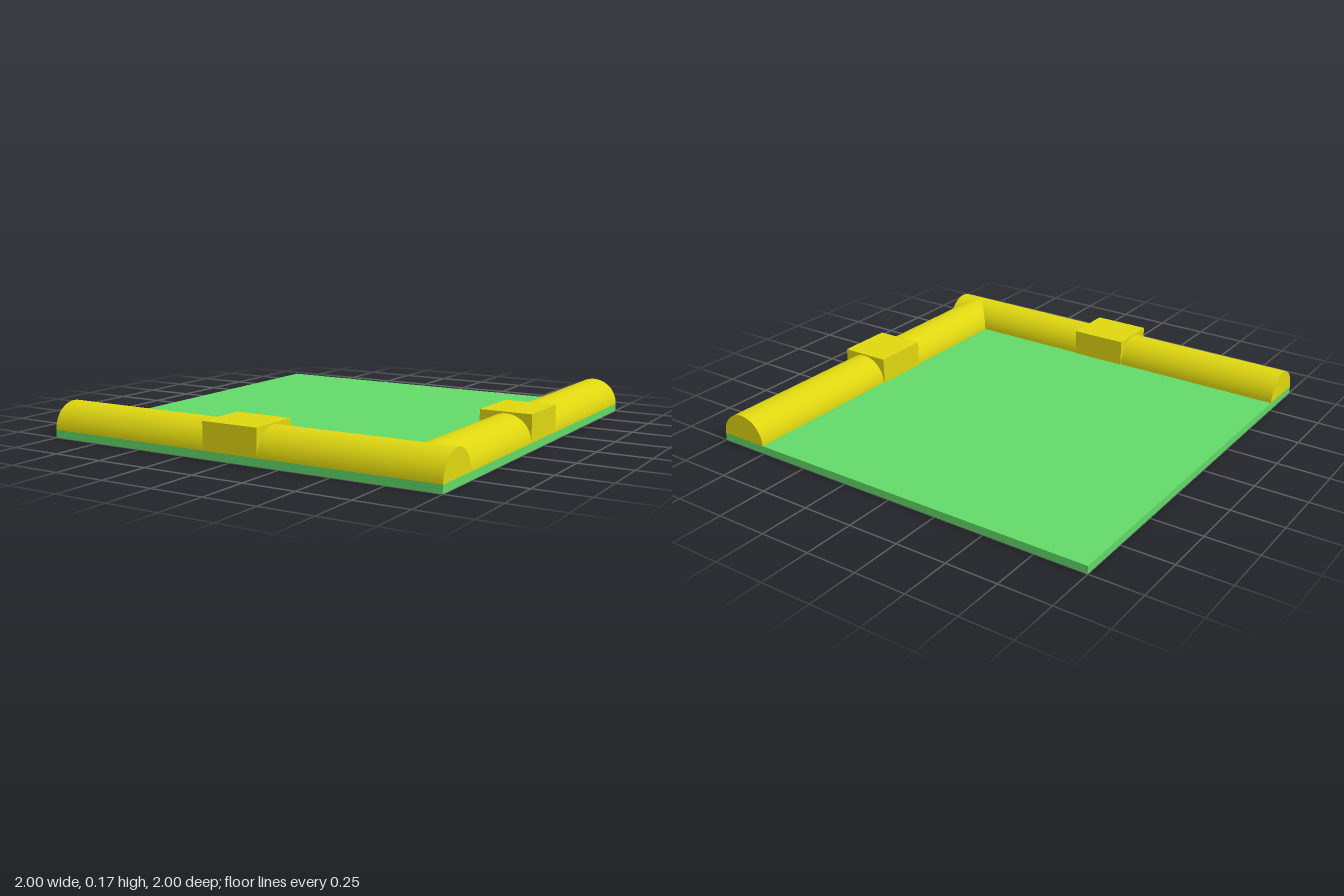
import * as THREE from 'three';

const BASE_H = 0.037;   // thickness of the floor slab
const R = 0.122;        // radius of the half-round bars
const INSET = 1 - R;    // distance of the bar axes from the centre

export function createModel() {
  const model = new THREE.Group();
  model.name = 'floorTile';
  const green = new THREE.MeshStandardMaterial({ color: 0x62d868 });
  const yellow = new THREE.MeshStandardMaterial({ color: 0xded610, flatShading: true });

  const add = (name, geometry, material, x, y, z, turn = 0) => {
    const mesh = new THREE.Mesh(geometry, material);
    mesh.name = name;
    mesh.position.set(x, y, z);
    mesh.rotation.y = turn;
    model.add(mesh);
  };

  // Half-round bar running along +z from its origin
  const bar = (length) => {
    const profile = new THREE.Shape();
    profile.absarc(0, 0, R, 0, Math.PI, false);
    profile.closePath();
    return new THREE.ExtrudeGeometry(profile, { depth: length, bevelEnabled: false, curveSegments: 20 });
  };

  // Square floor slab
  add('floor', new THREE.BoxGeometry(2, BASE_H, 2), green, 0, BASE_H / 2, 0);

  // Front bar spans the whole edge, the side bar ends inside it at the corner
  add('frontBar', bar(2), yellow, -1, BASE_H, INSET, Math.PI / 2);
  add('sideBar', bar(1 + INSET), yellow, INSET, BASE_H, -1);

  // Square blocks around the middle of each bar
  const top = 0.166, depth = 0.25, length = 0.282;
  const block = new THREE.BoxGeometry(length, top - BASE_H, depth);
  const y = (top + BASE_H) / 2;
  add('frontBlock', block, yellow, 0, y, 1 - depth / 2);
  add('sideBlock', block, yellow, 1 - depth / 2, y, 0, Math.PI / 2);

  return model;
}
